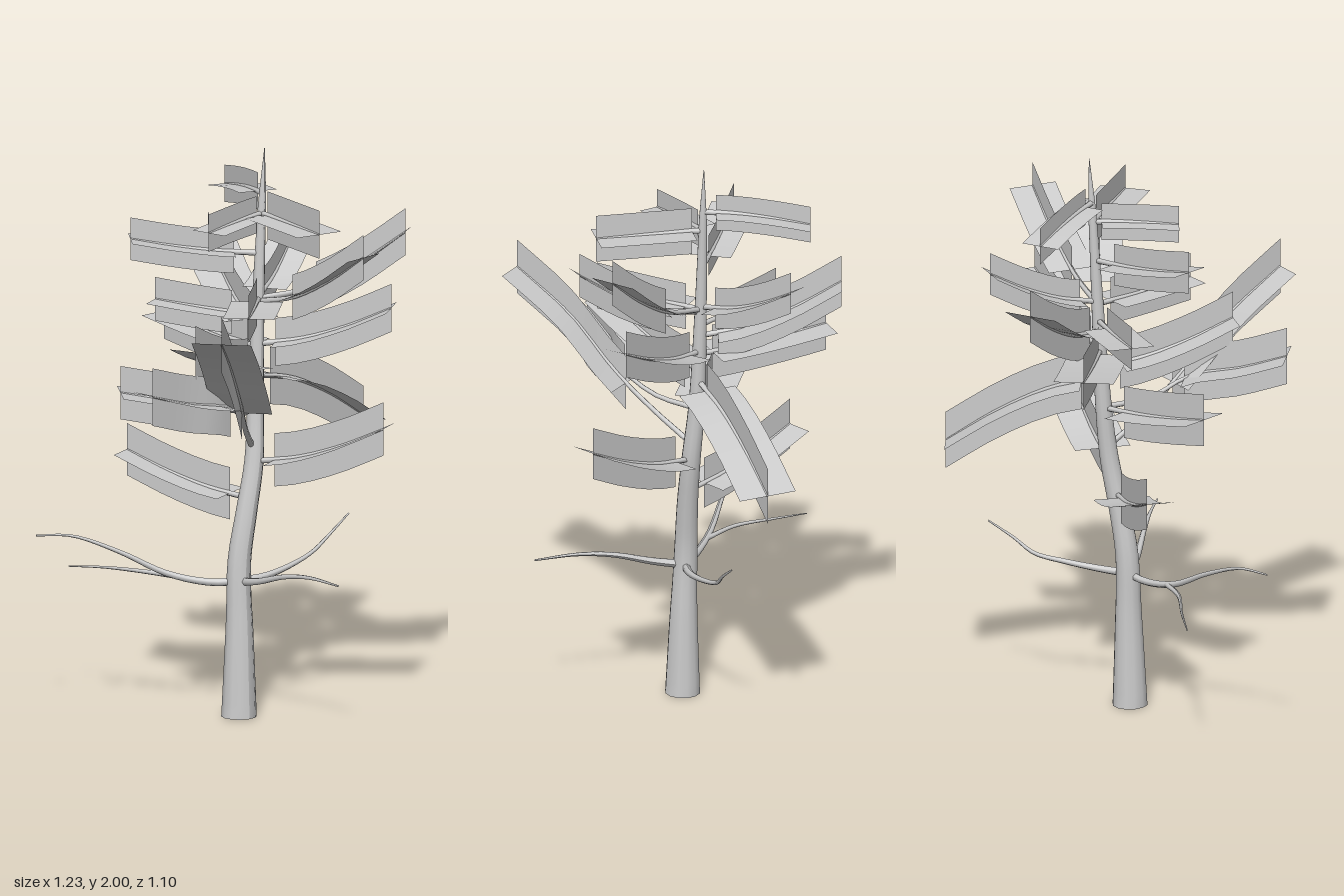
import * as THREE from 'three';

const bark = new THREE.MeshStandardMaterial({ color: 0xcccccc });
const leaf = new THREE.MeshStandardMaterial({ color: 0xcccccc, side: THREE.DoubleSide });
const curveOf = pts => new THREE.CatmullRomCurve3(pts.map(p => new THREE.Vector3(...p)));

// Gently bent trunk line
const trunk = curveOf([[-0.027, 0, -0.005], [-0.023, 0.3, -0.008], [-0.018, 0.55, -0.015], [0.01, 0.72, -0.012],
  [0.045, 0.9, -0.015], [0.062, 1.1, -0.03], [0.085, 1.55, -0.04], [0.11, 2, -0.042]]);
const trunkPoints = trunk.getSpacedPoints(200);

// Trunk radius by height: flared foot, even taper, pointed tip
const trunkRadius = y => Math.min(0.053 - 0.0215 * y + 0.009 * Math.max(0, 1 - y / 0.4), 0.001 + (2 - y) * 0.07);

// Tube whose radius follows radiusAt(t, centre) along its path
function taperedTube(name, curve, segments, sides, radiusAt) {
  const g = new THREE.TubeGeometry(curve, segments, 1, sides, false);
  const pos = g.attributes.position, v = new THREE.Vector3();
  for (let i = 0; i <= segments; i++) {
    const c = curve.getPointAt(i / segments), r = radiusAt(i / segments, c);
    for (let j = 0; j <= sides; j++) {
      const k = i * (sides + 1) + j;
      v.fromBufferAttribute(pos, k).sub(c).multiplyScalar(r).add(c);
      pos.setXYZ(k, v.x, v.y, v.z);
    }
  }
  g.computeVertexNormals();
  const mesh = new THREE.Mesh(g, bark);
  mesh.name = name;
  return mesh;
}

// Thin strip that follows the branch, widened along one fixed direction
function foliageCard(name, curve, t0, half, side) {
  const n = 6, pos = [], idx = [];
  for (let i = 0; i <= n; i++) {
    const c = curve.getPointAt(THREE.MathUtils.lerp(t0, 1, i / n));
    for (const s of [-half, half]) pos.push(c.x + side.x * s, c.y + side.y * s, c.z + side.z * s);
    if (i < n) {
      const a = i * 2;
      idx.push(a, a + 1, a + 2, a + 1, a + 3, a + 2);
    }
  }
  const g = new THREE.BufferGeometry();
  g.setAttribute('position', new THREE.Float32BufferAttribute(pos, 3));
  g.setIndex(idx);
  g.computeVertexNormals();
  const mesh = new THREE.Mesh(g, leaf);
  mesh.name = name;
  return mesh;
}

// Branch carrying one level and one upright card
function leafyBranch(curve, t0, half) {
  const group = new THREE.Group();
  group.name = 'leafyBranch';
  const a = curve.getPointAt(t0), b = curve.getPointAt(1);
  const level = new THREE.Vector3(b.z - a.z, 0, a.x - b.x).normalize();
  group.add(
    taperedTube('branch', curve, 12, 6, t => 0.011 - 0.008 * t),
    foliageCard('levelFoliage', curve, t0, half, level),
    foliageCard('uprightFoliage', curve, t0, half * 0.95, new THREE.Vector3(0, 1, 0))
  );
  return group;
}

// Branch line from the trunk to its tip: nearly level at first, then bending
function branchCurve(startY, x, y, z) {
  const start = trunkPoints.find(p => p.y >= startY);
  const tip = new THREE.Vector3(x, y, z);
  return new THREE.CatmullRomCurve3([0, 0.33, 0.67, 1].map(t => {
    const p = start.clone().lerp(tip, t);
    p.y = start.y + (y - start.y) * t ** 1.6;
    return p;
  }));
}

export function createModel() {
  const tree = new THREE.Group();
  tree.name = 'tree';

  // Trunk and its closed underside
  tree.add(taperedTube('trunk', trunk, 40, 12, (t, c) => trunkRadius(c.y)));
  const foot = new THREE.Mesh(new THREE.CircleGeometry(trunkRadius(0), 12).rotateX(Math.PI / 2), bark);
  foot.position.copy(trunkPoints[0]);
  foot.name = 'trunkFoot';
  tree.add(foot);

  // Bare lower branches; the second forks off the first
  const bare = [
    [[-0.02, 0.48, -0.01], [-0.1, 0.475, -0.07], [-0.22, 0.505, -0.16], [-0.36, 0.585, -0.25], [-0.5, 0.645, -0.34], [-0.61, 0.65, -0.4]],
    [[-0.19, 0.495, -0.14], [-0.26, 0.5, -0.26], [-0.31, 0.49, -0.42], [-0.36, 0.475, -0.55]],
    [[-0.02, 0.48, 0], [-0.025, 0.5, 0.1], [-0.015, 0.545, 0.25], [-0.005, 0.565, 0.38], [0.005, 0.565, 0.54]],
    [[-0.02, 0.48, -0.01], [0.08, 0.485, 0], [0.2, 0.505, -0.01], [0.31, 0.535, -0.03], [0.38, 0.585, -0.03], [0.47, 0.645, -0.04]]
  ];
  bare.forEach((p, i) => tree.add(taperedTube('bareBranch', curveOf(p), 20, 6, t => (i === 1 ? 0.01 : 0.015) * (1 - 0.8 * t))));

  // Two long branches with foliage only on the outer part
  const long1 = curveOf([[0.04, 0.95, -0.02], [-0.07, 1.05, 0.09], [-0.17, 1.17, 0.2], [-0.3, 1.34, 0.32], [-0.45, 1.48, 0.47]]);
  const long2 = curveOf([[0.06, 1.09, -0.03], [-0.08, 1.1, 0.08], [-0.2, 1.16, 0.165], [-0.38, 1.2, 0.175], [-0.54, 1.25, 0.19]]);
  tree.add(leafyBranch(long1, 0.36, 0.105), leafyBranch(long2, 0.46, 0.108));

  // Other leafy branches: height on trunk, tip x y z, start of foliage, half width
  const tiers = {
    lowerTier: [
      [0.76, -0.19, 0.89, -0.44, 0.15, 0.098],
      [0.89, 0.29, 1.06, 0.41, 0.15, 0.1],
      [1.08, -0.35, 1.15, -0.26, 0.2, 0.1],
      [1.19, 0.6, 0.96, -0.13, 0.12, 0.108]
    ],
    middleTier: [
      [1.23, -0.35, 1.38, 0.18, 0.14, 0.1],
      [1.29, 0.02, 1.34, -0.51, 0.1, 0.105],
      [1.3, 0.39, 1.46, 0.32, 0.13, 0.09],
      [1.36, 0.21, 1.57, -0.51, 0.12, 0.1],
      [1.4, -0.12, 1.43, -0.37, 0.25, 0.082],
      [1.46, -0.18, 1.49, 0.26, 0.14, 0.09]
    ],
    upperTier: [
      [1.45, 0.19, 1.69, 0.43, 0.3, 0.085],
      [1.47, 0.41, 1.63, -0.27, 0.15, 0.08],
      [1.46, 0.41, 1.74, 0.375, 0.36, 0.088],
      [1.62, -0.3, 1.69, -0.27, 0.2, 0.08],
      [1.76, -0.19, 1.755, 0.04, 0.1, 0.07],
      [1.76, 0.07, 1.77, 0.335, 0.1, 0.09],
      [1.83, 0.2, 1.79, -0.4, 0.12, 0.07]
    ]
  };
  for (const [name, rows] of Object.entries(tiers)) {
    const tier = new THREE.Group();
    tier.name = name;
    for (const [startY, x, y, z, t0, half] of rows) tier.add(leafyBranch(branchCurve(startY, x, y, z), t0, half));
    tree.add(tier);
  }
  return tree;
}
